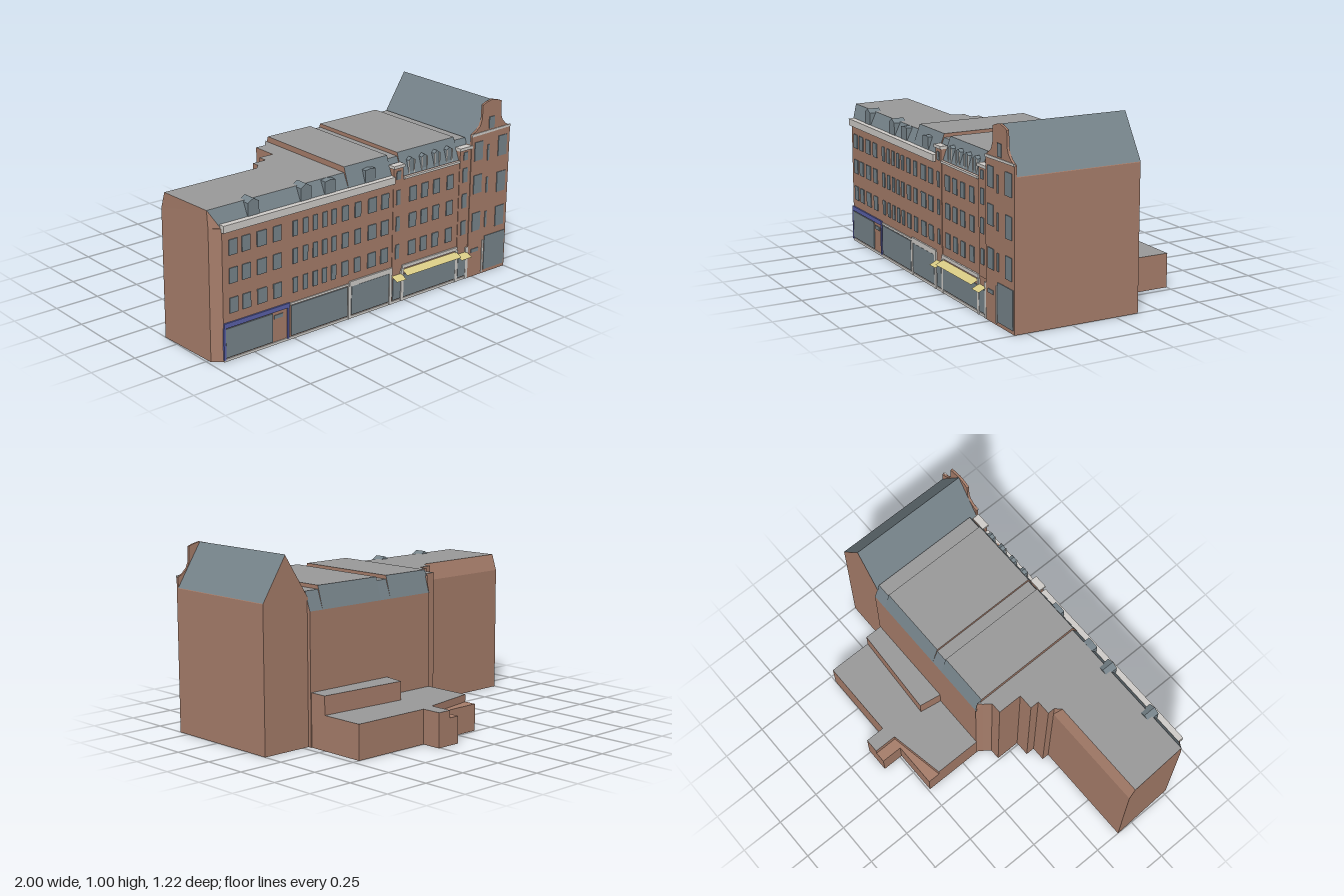
import * as THREE from 'three';

const mat = (name, color, opts = {}) => {
  const m = new THREE.MeshStandardMaterial({ color, ...opts });
  m.name = name;
  return m;
};

export function createModel() {
  const root = new THREE.Group();
  root.name = 'streetBlock';
  const brick = mat('brick', 0xa67d6a);
  const slate = mat('slate', 0x77848b);
  const roofGrey = mat('flatRoofGrey', 0x999999);
  const trim = mat('paleTrim', 0xcfccc8);
  const blue = mat('bluePaint', 0x5a60a8);
  const yellow = mat('awningYellow', 0xd8cb85, { side: THREE.DoubleSide });

  const add = (name, geo, m) => {
    const mesh = new THREE.Mesh(geo, m);
    mesh.name = name;
    root.add(mesh);
    return mesh;
  };

  // Solid between two [x, z] outlines; side(i) picks the material of edge i
  function loft(name, low, high, y0, y1, side, top, base = false) {
    const faces = new Map();
    const put = (m, ...pts) => {
      if (!faces.has(m)) faces.set(m, []);
      pts.forEach(p => faces.get(m).push(...p));
    };
    const b = low.map(([x, z]) => [x, y0, z]);
    const t = high.map(([x, z]) => [x, y1, z]);
    b.forEach((p, i) => {
      const j = (i + 1) % b.length;
      put(side(i), p, b[j], t[j], p, t[j], t[i]);
    });
    const cap = pts => THREE.ShapeUtils.triangulateShape(pts.map(([x, , z]) => new THREE.Vector2(x, -z)), []);
    cap(t).forEach(([i, j, k]) => put(top, t[i], t[j], t[k]));
    if (base) cap(b).forEach(([i, j, k]) => put(brick, b[i], b[k], b[j]));
    const geo = new THREE.BufferGeometry();
    const all = [], mats = [];
    for (const [m, v] of faces) {
      geo.addGroup(all.length / 3, v.length / 3, mats.length);
      mats.push(m);
      all.push(...v);
    }
    geo.setAttribute('position', new THREE.Float32BufferAttribute(all, 3));
    geo.computeVertexNormals();
    return add(name, geo, mats);
  }

  // Outline in x, y pushed back from zFront
  function slab(name, pts, zFront, depth, m) {
    const shape = new THREE.Shape(pts.map(p => new THREE.Vector2(...p)));
    const geo = new THREE.ExtrudeGeometry(shape, { depth, bevelEnabled: false });
    geo.translate(0, 0, zFront - depth);
    return add(name, geo, m);
  }

  function box(name, m, x0, x1, y0, y1, z0, z1) {
    const geo = new THREE.BoxGeometry(x1 - x0, y1 - y0, z1 - z0);
    geo.translate((x0 + x1) / 2, (y0 + y1) / 2, (z0 + z1) / 2);
    return add(name, geo, m);
  }
  const F = 0.56;   // main street front
  const G = 0.567;  // gable street front
  const plate = (name, m, x0, x1, y0, y1, z = F, d = 0.004) => box(name, m, x0, x1, y0, y1, z - 0.001, z + d);

  // Main walls, with the stepped back
  const steps = [[-0.15, -0.12], [-0.18, -0.08], [-0.24, -0.08], [-0.24, 0.06], [-0.325, 0.06], [-0.325, 0.11], [-0.405, 0.11]];
  const foot = [[-0.935, F], [0.715, F], [0.715, -0.15], [-0.13, -0.15], ...steps, [-0.405, 0.15], [-0.435, 0.15], [-1, 0.15], [-0.985, 0.52]];
  loft('mainWalls', foot, foot, 0, 0.7, () => brick, brick, true);

  // Left roof
  loft('leftRoof',
    [[-0.935, 0.553], [-0.13, 0.553], [-0.13, -0.15], ...steps, [-0.405, 0.15], [-0.435, 0.15], [-1, 0.15], [-0.985, 0.52]],
    [[-0.984, 0.51], [-0.13, 0.51], [-0.13, -0.14], ...steps, [-0.405, 0.15], [-0.435, 0.18], [-1, 0.18], [-0.985, 0.51]],
    0.7, 0.79, i => (i === 0 ? slate : brick), roofGrey);

  // Centre roofs, sloped front and back
  [[-0.135, 0.155, 0.82], [0.155, 0.225, 0.8], [0.225, 0.63, 0.82], [0.63, 0.715, 0.8]].forEach(([a, b, y]) =>
    loft('centreRoof',
      [[a, 0.553], [b, 0.553], [b, -0.15], [a, -0.15]],
      [[a, 0.51], [b, 0.51], [b, -0.115], [a, -0.115]],
      0.7, y, i => (i % 2 ? brick : slate), roofGrey));

  // Back annexes
  const annex = [[-0.135, -0.15], [0.71, -0.15], [0.71, -0.5], [0.26, -0.5], [0.26, -0.61], [0.18, -0.61], [0.18, -0.48], [-0.135, -0.42]];
  loft('lowAnnex', annex, annex, 0, 0.185, () => brick, roofGrey, true);
  const ledge = [[-0.135, -0.42], [0.18, -0.48], [0.18, -0.61], [0.12, -0.61], [0.12, -0.49], [-0.135, -0.49]];
  loft('annexLedge', ledge, ledge, 0, 0.145, () => brick, brick, true);
  const upper = [[0.18, -0.15], [0.71, -0.15], [0.71, -0.25], [0.2, -0.275]];
  loft('upperAnnex', upper, upper, 0.185, 0.285, () => brick, roofGrey);

  // Gabled house on the right
  slab('gableHouse', [[0.71, 0], [1, 0], [1, 0.768], [0.855, 0.996], [0.71, 0.768]], 0.556, 0.686, brick);
  const slopes = [];
  for (const [p, q] of [[[1, 0.771], [0.855, 0.999]], [[0.855, 0.999], [0.71, 0.771]]]) {
    const a = [...p, 0.556], b = [...p, -0.131], c = [...q, -0.131], d = [...q, 0.556];
    slopes.push(...a, ...b, ...c, ...a, ...c, ...d);
  }
  const slopeGeo = new THREE.BufferGeometry();
  slopeGeo.setAttribute('position', new THREE.Float32BufferAttribute(slopes, 3));
  slopeGeo.computeVertexNormals();
  add('gableRoof', slopeGeo, slate);
  slab('gableFront', [[0.712, 0], [1, 0], [1, 0.825], [0.965, 0.845], [0.94, 0.87], [0.928, 0.9], [0.926, 0.98], [0.9, 0.99],
    [0.855, 1], [0.81, 0.99], [0.786, 0.98], [0.784, 0.9], [0.77, 0.865], [0.745, 0.845], [0.712, 0.828]], G, 0.013, brick);
  slab('gableCornice', [[0.712, 0.815], [1, 0.822], [1, 0.834], [0.712, 0.83]], G + 0.004, 0.008, trim);

  // Narrow bays rising past the eaves, with caps
  for (const [a, b, y] of [[0.158, 0.225, 0.765], [0.632, 0.714, 0.76]]) {
    box('narrowBay', brick, a, b, 0.2, y, 0.52, 0.563);
    box('bayCap', trim, a - 0.005, b + 0.004, y - 0.008, y + 0.008, 0.53, 0.57);
  }

  // Eaves cornices
  box('leftCornice', trim, -0.937, 0.157, 0.68, 0.718, 0.545, 0.577);
  box('rightCornice', trim, 0.228, 0.63, 0.688, 0.7, 0.545, 0.57);

  // Windows: [centre, width]
  const columns = [[-0.873, 0.05], [-0.795, 0.05], [-0.7, 0.058], [-0.605, 0.05], [-0.492, 0.03], [-0.427, 0.03],
    [-0.364, 0.03], [-0.303, 0.03], [-0.243, 0.03], [-0.168, 0.042], [-0.085, 0.04], [0.013, 0.055], [0.1, 0.05],
    [0.191, 0.025], [0.295, 0.05], [0.378, 0.045], [0.463, 0.045], [0.562, 0.045], [0.672, 0.034]];
  for (const [x, w] of columns)
    for (const y of [0.292, 0.448, 0.595]) {
      const dy = x > 0.6 ? 0.015 : 0;
      plate('window', slate, x - w / 2, x + w / 2, y - 0.04 + dy, y + 0.04 + dy, 0.563);
    }
  for (const x of [0.191, 0.672]) plate('bayTopWindow', slate, x - 0.014, x + 0.014, 0.695, 0.74, 0.563);
  for (const [x, w, h, ys] of [[0.765, 0.06, 0.105, [0.322, 0.54, 0.728]], [0.838, 0.014, 0.09, [0.32, 0.52, 0.705]], [0.945, 0.064, 0.115, [0.317, 0.517, 0.725]]])
    for (const y of ys) plate('gableWindow', slate, x - w / 2, x + w / 2, y - h / 2, y + h / 2, G);
  plate('atticWindow', slate, 0.836, 0.876, 0.84, 0.905, G);

  // Dormers
  for (const [x, rise] of [[-0.735, 0.02], [-0.41, 0.02], [-0.255, 0.005], [0.01, 0.005]])
    slab('dormer', [[x - 0.034, 0.715], [x + 0.034, 0.715], [x + 0.034, 0.785], [x, 0.785 + rise], [x - 0.034, 0.785]], 0.548, 0.07, slate);
  for (const x of [0.295, 0.385, 0.475, 0.565]) {
    slab('smallDormer', [[x - 0.02, 0.705], [x + 0.02, 0.705], [x + 0.02, 0.775], [x, 0.788], [x - 0.02, 0.775]], 0.548, 0.06, slate);
    for (const s of [-1, 1]) plate('dormerFrame', trim, x + s * 0.018 - 0.003, x + s * 0.018 + 0.003, 0.705, 0.775, 0.548);
  }

  // Shop fronts: glass, posts, fascias and plinth
  for (const [a, b, top] of [[-0.925, -0.637, 0.175], [-0.52, -0.15, 0.185], [-0.122, 0.135, 0.18], [0.165, 0.218, 0.14], [0.238, 0.62, 0.15], [0.64, 0.7, 0.14]])
    plate('shopWindow', slate, a, b, 0.02, top, 0.563);
  plate('gableShopWindow', slate, 0.835, 0.99, 0.02, 0.22, G);
  plate('gableShopPost', trim, 0.818, 0.828, 0.01, 0.2, G);
  plate('doorLight', slate, -0.625, -0.57, 0.14, 0.16);
  plate('gableDoorLight', slate, 0.735, 0.79, 0.145, 0.165, G);
  plate('blueFascia', blue, -0.935, -0.53, 0.18, 0.205, F, 0.009);
  for (const x of [-0.932, -0.538]) plate('bluePost', blue, x - 0.006, x + 0.006, 0.01, 0.18, F, 0.008);
  plate('greyFascia', trim, -0.525, -0.14, 0.188, 0.2, F, 0.006);
  plate('paleFascia', trim, -0.135, 0.158, 0.182, 0.21, F, 0.009);
  plate('awningFascia', trim, 0.228, 0.63, 0.186, 0.205, F, 0.009);
  for (const x of [-0.135, 0.148, 0.23, 0.628, 0.705]) plate('palePost', trim, x - 0.009, x + 0.009, 0, 0.185, F, 0.008);
  plate('plinth', trim, -0.935, 0.71, 0, 0.014, F, 0.005);

  // Awnings
  for (const [a, b, y] of [[0.232, 0.628, 0.177], [0.158, 0.226, 0.158], [0.632, 0.708, 0.158]]) {
    const geo = new THREE.PlaneGeometry(b - a, Math.hypot(0.043, 0.02));
    geo.rotateX(-Math.atan2(0.043, 0.02));
    geo.translate((a + b) / 2, y - 0.01, 0.584);
    add('awning', geo, yellow);
  }

  return root;
}
